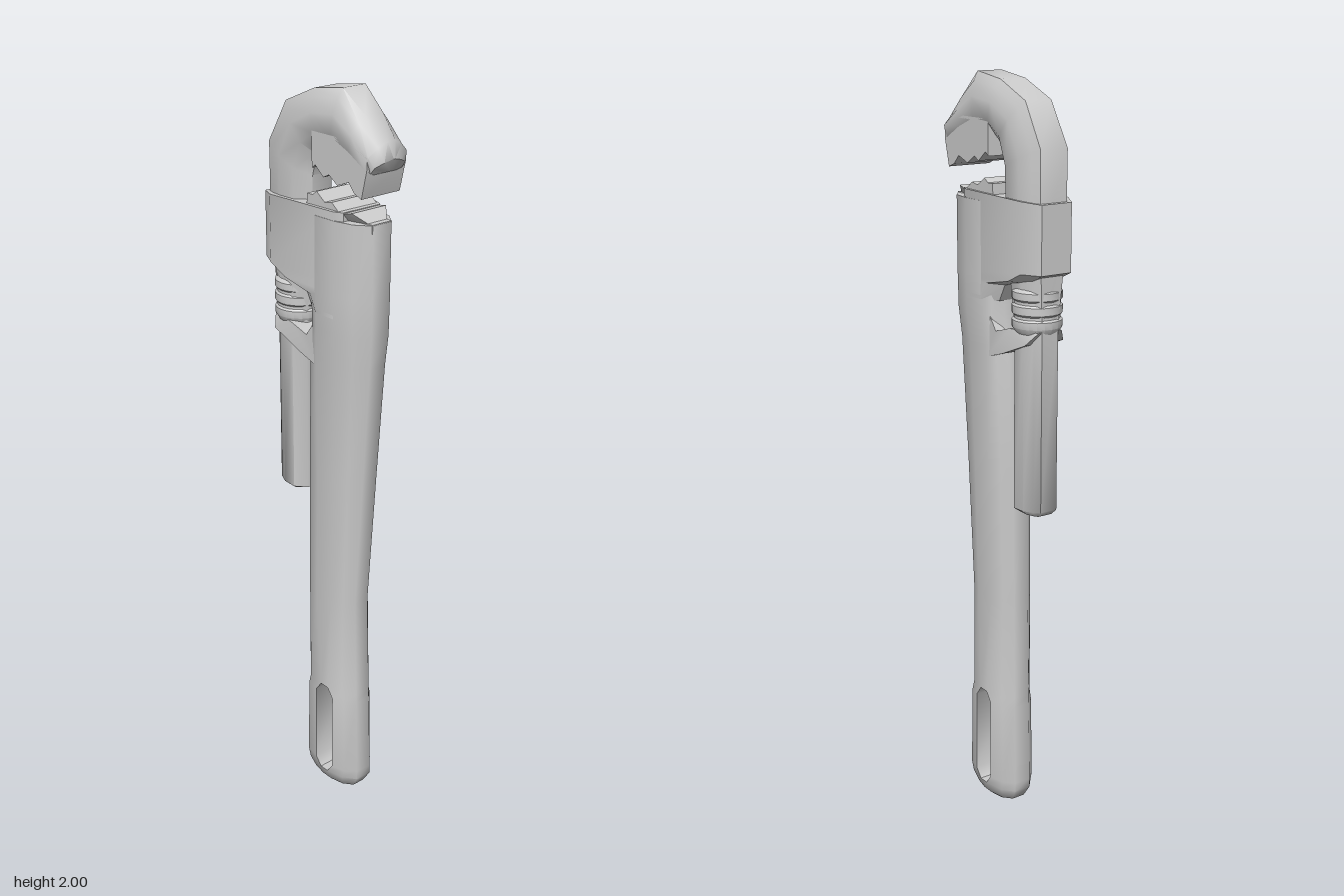
import * as THREE from 'three';
import { toCreasedNormals } from 'three/addons/utils/BufferGeometryUtils.js';

const material = new THREE.MeshStandardMaterial({ color: 0xcccccc });

function part(name, geometry, crease = 0.8) {
  const mesh = new THREE.Mesh(toCreasedNormals(geometry, crease), material);
  mesh.name = name;
  return mesh;
}

// Skin between rings of [x, y, z] points, with capped ends; skip(row, column) leaves openings
function loft(rings, skip = () => false) {
  const n = rings[0].length, index = [], last = (rings.length - 1) * n;
  for (let i = 0; i < rings.length - 1; i++) {
    for (let j = 0; j < n; j++) {
      if (skip(i, j)) continue;
      const a = i * n + j, b = i * n + (j + 1) % n;
      index.push(a, b, b + n, a, b + n, a + n);
    }
  }
  for (let j = 1; j < n - 1; j++) {
    index.push(0, j + 1, j, last, last + j, last + j + 1);
  }
  const geometry = new THREE.BufferGeometry();
  geometry.setAttribute('position', new THREE.Float32BufferAttribute(rings.flat(2), 3));
  geometry.setIndex(index);
  return geometry;
}

// Close a half section (x > 0) with its mirror image
const mirrorRing = (half) => [...half, ...[...half].reverse().map(([x, y, z]) => [-x, y, z])];

// Side profile of [z, y] points extruded across x; narrow(z) scales the width
function sideExtrude(points, halfWidth, narrow) {
  const shape = new THREE.Shape(points.map(([z, y]) => new THREE.Vector2(-z, y)));
  const geometry = new THREE.ExtrudeGeometry(shape, { depth: 2 * halfWidth, bevelEnabled: false });
  geometry.translate(0, 0, -halfWidth).rotateY(Math.PI / 2);
  const p = geometry.attributes.position;
  for (let i = 0; i < p.count; i++) p.setX(i, p.getX(i) * narrow(p.getZ(i)));
  return geometry;
}

// Handle with a hanging slot through its lower end
function handle() {
  // y, half width, front z, back z, front and back z of the flat side
  const rows = [
    [0, 0.03, 0.075, -0.03, 0.035, 0.01],
    [0.015, 0.047, 0.105, -0.06, 0.04, 0.005],
    [0.048, 0.06, 0.125, -0.08, 0.038, 0.01],
    [0.075, 0.061, 0.125, -0.08, 0.058, -0.01],
    [0.305, 0.059, 0.119, -0.075, 0.058, -0.01],
    [0.333, 0.059, 0.118, -0.075, 0.038, 0.01],
    [0.62, 0.056, 0.11, -0.07, 0.05, -0.01],
    [1.0, 0.059, 0.138, -0.066, 0.06, 0],
    [1.32, 0.064, 0.162, -0.05, 0.07, 0],
    [1.4, 0.071, 0.17, -0.035, 0.075, 0.01],
    [1.5, 0.073, 0.172, -0.035, 0.075, 0.01],
    [1.69, 0.073, 0.173, -0.035, 0.075, 0.01],
  ];
  const rings = rows.map(([y, w, front, back, sf, sb]) => mirrorRing([
    [w * 0.4, y, front],
    [w * 0.82, y, sf + (front - sf) * 0.6],
    [w, y, sf],
    [w, y, sb],
    [w * 0.82, y, sb + (back - sb) * 0.65],
    [w * 0.4, y, back],
  ]));
  const group = new THREE.Group();
  group.name = 'handle';
  group.add(part('handleBody', loft(rings, (i, j) => i >= 2 && i < 5 && (j === 2 || j === 8)), 1));
  const slot = rings.slice(2, 6).map((r) => [r[9], r[8], r[3], r[2]]);
  group.add(part('hangingSlotWall', loft(slot, (i, j) => j % 2 === 0)));
  return group;
}

// Sliding shank that bends over into the hook
function hook() {
  // outer z, y, inner z, y, half width, outer edge factor
  const rows = [
    [-0.175, 0.895, -0.1, 0.895, 0.035, 0.6],
    [-0.19, 0.91, -0.08, 0.905, 0.05, 0.5],
    [-0.19, 1.4, -0.08, 1.4, 0.05, 0.5],
    [-0.2, 1.6, -0.05, 1.6, 0.06, 0.65],
    [-0.2, 1.83, -0.045, 1.77, 0.062, 0.65],
    [-0.135, 1.94, -0.03, 1.825, 0.062, 0.62],
    [-0.03, 1.985, 0, 1.85, 0.062, 0.6],
    [0.07, 2, 0.05, 1.85, 0.062, 0.58],
    [0.14, 1.945, 0.11, 1.835, 0.062, 0.45],
    [0.2, 1.893, 0.165, 1.81, 0.062, 0.2],
    [0.21, 1.853, 0.175, 1.81, 0.05, 0.05],
  ];
  const rings = rows.map(([oz, oy, iz, iy, w, f]) => {
    const at = (x, t) => [x, iy + (oy - iy) * t, iz + (oz - iz) * t];
    return mirrorRing([at(w * 0.5, 0), at(w, 0.25), at(w, 0.6), at(w * (0.5 + f / 2), 0.85), at(w * f, 1)]);
  });
  return part('hookJaw', loft(rings), 0.9);
}

// Collar on the back of the head that guides the shank
function housing() {
  const rows = [[1.44, -0.035], [1.485, -0.06], [1.505, -0.16], [1.53, -0.213], [1.702, -0.213]];
  const rings = rows.map(([y, back], i) => {
    const top = i === rows.length - 1 ? 0.01 : 0;
    return mirrorRing([
      [0.06, y + top, 0.1],
      [0.072, y + top, 0.075],
      [0.072, y + top / 2, Math.min(back + 0.05, 0.01)],
      [0.045, y, back],
    ]);
  });
  return part('housing', loft(rings), 0.6);
}

// Knurled adjusting nut with two grooves and a neck above
function nut() {
  const profile = [
    [0, 1.375], [0.055, 1.375], [0.064, 1.39], [0.064, 1.408], [0.059, 1.413], [0.059, 1.42],
    [0.064, 1.425], [0.064, 1.445], [0.059, 1.45], [0.059, 1.457], [0.064, 1.462],
    [0.064, 1.48], [0.055, 1.488], [0.05, 1.52], [0, 1.52],
  ].map(([r, y]) => new THREE.Vector2(r, y));
  const mesh = part('adjustingNut', new THREE.LatheGeometry(profile, 20), 0.6);
  mesh.position.z = -0.135;
  return mesh;
}

export function createModel() {
  const group = new THREE.Group();
  group.name = 'pipeWrench';
  group.add(handle(), housing(), hook(), nut());

  // Toothed block under the hook
  group.add(part('upperTeeth', sideExtrude([
    [0.183, 1.86], [0.183, 1.83], [0.165, 1.758], [0.14, 1.768], [0.12, 1.79], [0.08, 1.775],
    [0.05, 1.795], [0.03, 1.785], [0, 1.81], [-0.012, 1.8], [-0.012, 1.89], [0.1, 1.89],
  ].reverse(), 0.062, () => 1), 0.4));

  // Toothed block on top of the handle
  group.add(part('lowerTeeth', sideExtrude([
    [0.172, 1.67], [0.172, 1.692], [0.155, 1.692], [0.125, 1.715], [0.09, 1.708], [0.06, 1.73],
    [0.035, 1.725], [0.005, 1.746], [-0.01, 1.735], [-0.03, 1.735], [-0.035, 1.67],
  ].reverse(), 0.062, (z) => (z > 0.14 ? 0.5 : z > 0.11 ? 0.9 : 1)), 0.4));

  // Lug that carries the nut from below
  group.add(part('nutLug', sideExtrude([
    [0, 1.29], [-0.07, 1.312], [-0.165, 1.35], [-0.19, 1.383], [-0.1, 1.383],
    [-0.04, 1.365], [0, 1.42],
  ], 0.06, (z) => (z < -0.18 ? 0.6 : 1)), 0.6));
  return group;
}
